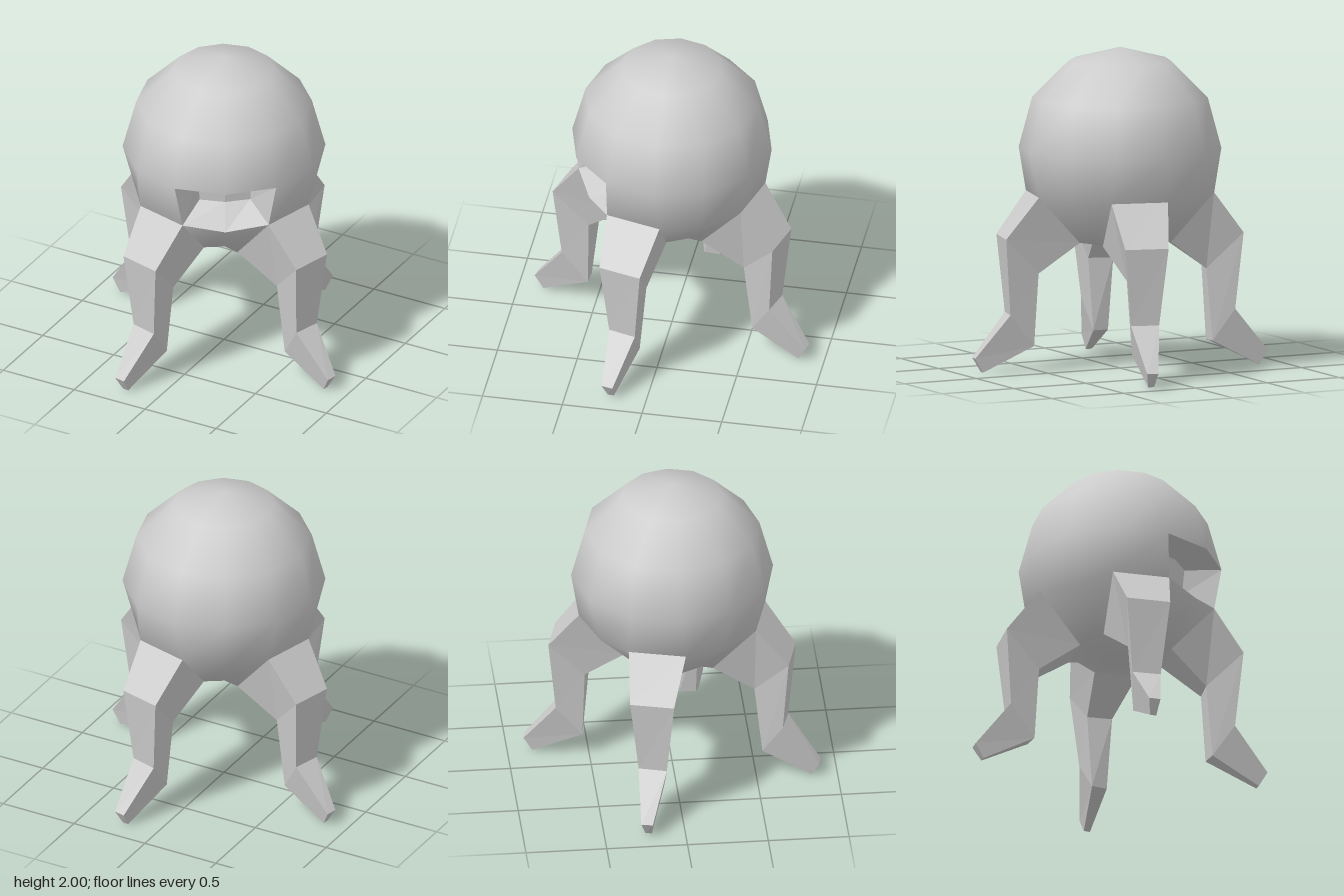
import * as THREE from 'three';

const R = 0.625, CY = 1.375, SIDES = 12, ROWS = 6;

// Leg cross-sections from hip to toe: outer left, outer right, inner right, inner left
const LEG = [
  [[0.03, 1.10, 0.58], [-0.315, 1.10, 0.49], [-0.24, 0.80, 0.23], [0.02, 0.80, 0.29]],
  [[-0.06, 0.84, 0.76], [-0.325, 0.84, 0.69], [-0.21, 0.615, 0.49], [-0.06, 0.615, 0.535]],
  [[-0.10, 0.36, 0.71], [-0.27, 0.36, 0.66], [-0.20, 0.16, 0.54], [-0.10, 0.16, 0.545]],
  [[-0.205, 0.09, 0.90], [-0.275, 0.09, 0.885], [-0.245, 0, 0.84], [-0.205, 0, 0.845]],
];

const polar = (angle, r, y) => [r * Math.sin(angle), y, r * Math.cos(angle)];
const turn = ([x, y, z], quarter) => {
  const c = Math.cos(quarter * Math.PI / 2), s = Math.sin(quarter * Math.PI / 2);
  return [x * c + z * s, y, z * c - x * s];
};

// Body vertex; the corners that meet a hip are pulled onto it
function bodyPoint(row, k) {
  k = k % SIDES;
  if (row === 4 || row === 5) {
    const quarter = Math.floor(k / 3), hip = LEG[0];
    if (k % 3 === 0) return turn(hip[row === 4 ? 0 : 3], quarter);
    if (k % 3 === 2) return turn(hip[row === 4 ? 1 : 2], quarter + 1);
  }
  const t = row * Math.PI / ROWS;
  return polar(k * 2 * Math.PI / SIDES, R * Math.sin(t), CY + R * Math.cos(t));
}

// Geometry from four-cornered faces, counter-clockwise from outside
function quads(list) {
  const geo = new THREE.BufferGeometry();
  const pos = list.flatMap(([a, b, c, d]) => [a, b, c, a, c, d].flat());
  geo.setAttribute('position', new THREE.Float32BufferAttribute(pos, 3));
  geo.computeVertexNormals();
  return geo;
}

function mesh(name, geo, flatShading) {
  const m = new THREE.Mesh(geo, new THREE.MeshStandardMaterial({ color: 0xcccccc, flatShading }));
  m.name = name;
  return m;
}

// Round smooth body, open at the hips and the mouth
function makeBody() {
  const pos = [], index = [], normal = [], v = new THREE.Vector3();
  for (let row = 0; row <= ROWS; row++) {
    for (let k = 0; k <= SIDES; k++) {
      const p = bodyPoint(row, k);
      pos.push(...p);
      v.set(p[0], p[1] - CY, p[2]).normalize();
      normal.push(v.x, v.y, v.z);
    }
  }
  for (let row = 0; row < ROWS; row++) {
    for (let k = 0; k < SIDES; k++) {
      const hip = row === 4 && k % 3 === 2, mouth = row === 3 && k < 2;
      if (hip || mouth) continue;
      const a = row * (SIDES + 1) + k, b = a + SIDES + 1;
      if (row > 0) index.push(a, b, a + 1);
      if (row < ROWS - 1) index.push(b, b + 1, a + 1);
    }
  }
  const geo = new THREE.BufferGeometry();
  geo.setAttribute('position', new THREE.Float32BufferAttribute(pos, 3));
  geo.setAttribute('normal', new THREE.Float32BufferAttribute(normal, 3));
  geo.setIndex(index);
  return mesh('body', geo, false);
}

// Recessed mouth between two of the legs
function makeMouth() {
  const cols = [0, 1, 2], angles = [6, 30, 54].map(THREE.MathUtils.degToRad);
  const T = cols.map(k => bodyPoint(3, k)), B = cols.map(k => bodyPoint(4, k));
  const t = angles.map(a => polar(a, 0.40, 1.355)), b = angles.map(a => polar(a, 0.385, 1.19));
  const faces = [[B[0], b[0], t[0], T[0]], [b[2], B[2], T[2], t[2]]];
  for (let i = 0; i < 2; i++) {
    faces.push([b[i], b[i + 1], t[i + 1], t[i]]);
    faces.push([B[i], B[i + 1], b[i + 1], b[i]]);
    faces.push([t[i], t[i + 1], T[i + 1], T[i]]);
  }
  return mesh('mouth', quads(faces), true);
}

// Bent, tapering leg lofted through its cross-sections
function makeLegGeometry() {
  const faces = [LEG[LEG.length - 1]];
  for (let s = 0; s < LEG.length - 1; s++) {
    for (let i = 0; i < 4; i++) {
      const j = (i + 1) % 4;
      faces.push([LEG[s][i], LEG[s][j], LEG[s + 1][j], LEG[s + 1][i]]);
    }
  }
  return quads(faces);
}

export function createModel() {
  const group = new THREE.Group();
  group.name = 'fourLeggedCreature';
  group.add(makeBody(), makeMouth());
  const legGeo = makeLegGeometry();
  ['frontLeg', 'leftLeg', 'backLeg', 'rightLeg'].forEach((name, i) => {
    const leg = mesh(name, legGeo, true);
    leg.rotation.y = i * Math.PI / 2;
    group.add(leg);
  });
  return group;
}
